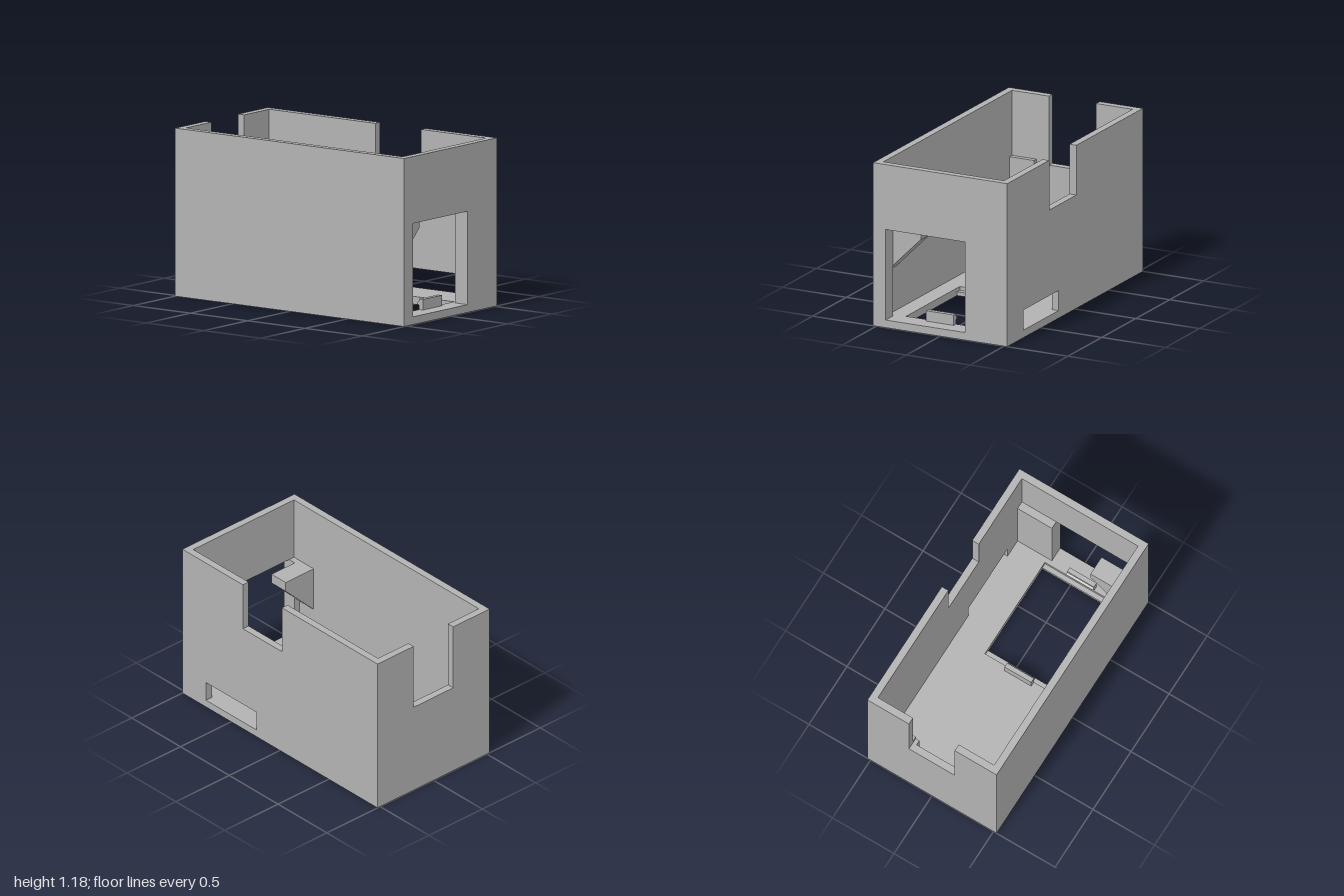
import * as THREE from 'three';

const H = 1.18, X = 1, Z = 0.525, T = 0.053, FLOOR = 0.055;
const RIB = 0.71, IX = X - T, IZ = Z - T;

export function createModel() {
  const model = new THREE.Group();
  const grey = new THREE.MeshStandardMaterial({ color: 0xb2b2b2 });
  grey.name = 'plain grey';

  const add = (name, geometry) => {
    const mesh = new THREE.Mesh(geometry, grey);
    mesh.name = name;
    model.add(mesh);
  };
  const shapeOf = pts => new THREE.Shape(pts.map(p => new THREE.Vector2(...p)));
  const extrude = (shape, depth) => new THREE.ExtrudeGeometry(shape, { depth, bevelEnabled: false });
  // Outline in x,y, running from z0 to z1
  const alongZ = (name, pts, z0, z1) => add(name, extrude(shapeOf(pts), z1 - z0).translate(0, 0, z0));
  // Outline in z,y, running from x0 to x1
  const alongX = (name, pts, x0, x1) =>
    add(name, extrude(shapeOf(pts), x1 - x0).rotateY(-Math.PI / 2).translate(x1, 0, 0));
  const rect = (a, b, c, d) => [[a, c], [b, c], [b, d], [a, d]];

  // Floor in two layers: the opening is wider above, leaving a narrow ledge
  const floorLayer = (name, x0, x1, y0, y1) => {
    const s = shapeOf(rect(-X, X, -Z, Z));
    s.holes.push(new THREE.Path(rect(x0, x1, -0.228, 0.343).map(p => new THREE.Vector2(...p))));
    add(name, extrude(s, y1 - y0).rotateX(Math.PI / 2).translate(0, y1, 0));
  };
  floorLayer('floorBase', 0.105, 0.82, 0, 0.028);
  floorLayer('floorLedge', 0.065, 0.855, 0.028, FLOOR);

  // Front wall, and back wall with a slot at the floor and a notch at the rim
  alongZ('frontWall', rect(-X, X, FLOOR, H), IZ, Z);
  alongZ('backWall', [
    [-X, FLOOR], [0.243, FLOOR], [0.243, 0.2], [0.757, 0.2], [0.757, FLOOR], [X, FLOOR],
    [X, H], [0.38, H], [0.38, 0.82], [-0.02, 0.82], [-0.02, H], [-X, H],
  ], -Z, -IZ);

  // Side wall with the window opening
  alongX('windowWall', [
    [-IZ, FLOOR], [-0.193, FLOOR], [-0.193, RIB], [0.427, RIB], [0.427, FLOOR],
    [IZ, FLOOR], [IZ, H], [-IZ, H],
  ], IX, X);
  alongX('windowRib', rect(-IZ, -0.193, FLOOR, RIB), 0.89, IX);
  alongX('windowRib', rect(0.427, IZ, FLOOR, RIB), 0.89, IX);

  // Opposite side wall with a notch at the rim, and its inner ribs
  alongX('notchedWall', [
    [-IZ, FLOOR], [IZ, FLOOR], [IZ, H], [0.184, H], [0.184, 0.68],
    [-0.187, 0.68], [-0.187, H], [-IZ, H],
  ], -X, -IX);
  alongX('notchRib', [
    [-IZ, FLOOR], [-0.157, FLOOR], [-0.157, 0.68], [-0.187, 0.68], [-0.187, RIB], [-IZ, RIB],
  ], -IX, -0.91);
  alongX('notchRib', rect(0.28, IZ, FLOOR, RIB), -IX, -0.91);

  // Corner bracket with a sloping underside
  alongX('cornerBracket', [[0.21, RIB], [0.21, 0.638], [IZ, 0.376], [IZ, RIB]], 0.745, 0.89);

  // Snap clips on both sides of the floor opening
  for (const side of [-1, 1]) {
    const profile = [
      [0.43, FLOOR], [0.43, 0.13], [0.395, 0.13], [0.395, 0.115],
      [0.38, 0.104], [0.38, 0.096], [0.395, 0.085], [0.395, FLOOR],
    ].map(([x, y]) => [0.46 + side * x, y]);
    alongZ('snapClip', profile, -0.047, 0.17);
  }
  return model;
}
